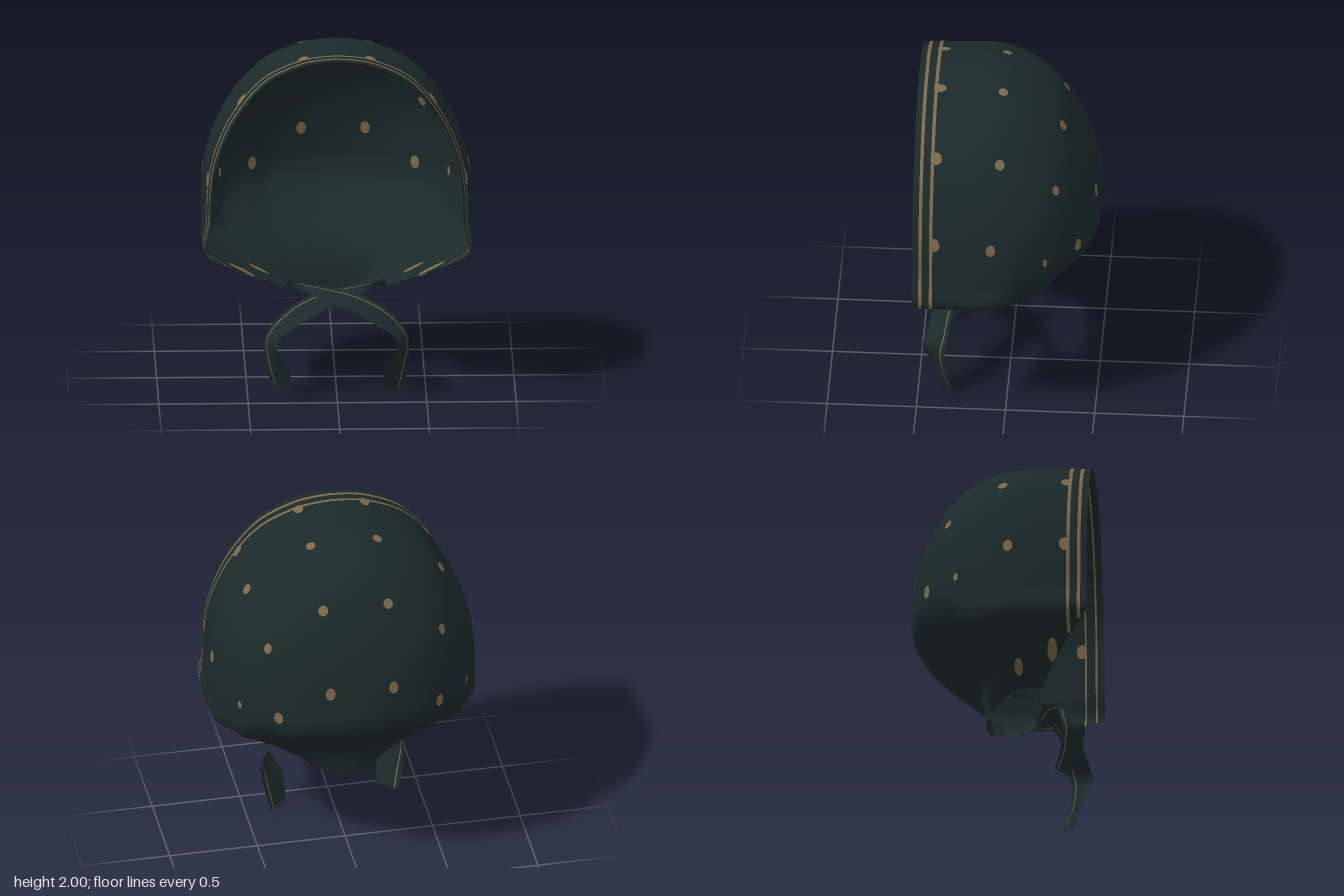
import * as THREE from 'three';

const cloth = new THREE.MeshStandardMaterial({ color: 0x1c2a2a, side: THREE.DoubleSide });
cloth.name = 'dark green cloth';
const gold = new THREE.MeshStandardMaterial({ color: 0x7d694b, side: THREE.DoubleSide });
gold.name = 'dull gold print';

// Hood levels from neck hem to crown: yFront, yBack, halfWidth, zFront, zBack
const LEVELS = [
  [0.60, 0.49, 0.28, 0.23, -0.10],
  [0.64, 0.57, 0.38, 0.27, -0.107],
  [0.70, 0.66, 0.50, 0.33, -0.13],
  [0.78, 0.76, 0.64, 0.42, -0.21],
  [0.87, 0.87, 0.75, 0.51, -0.345],
  [1.00, 1.00, 0.753, 0.51, -0.485],
  [1.10, 1.10, 0.755, 0.51, -0.52],
  [1.20, 1.20, 0.752, 0.51, -0.515],
  [1.35, 1.35, 0.735, 0.51, -0.492],
  [1.50, 1.50, 0.69, 0.51, -0.452],
  [1.65, 1.65, 0.617, 0.51, -0.385],
  [1.80, 1.80, 0.505, 0.51, -0.285],
  [1.90, 1.90, 0.385, 0.51, -0.175],
  [1.97, 1.97, 0.22, 0.51, -0.04],
  [1.992, 1.992, 0.11, 0.51, 0.05],
  [2.00, 2.00, 0, 0.51, 0.15],
];
const LAST = LEVELS.length - 1;
const spline = pts => new THREE.CatmullRomCurve3(pts, false, 'catmullrom', 0.5);
const shape = spline(LEVELS.map(l => new THREE.Vector3(l[0], l[1], l[2])));
const depth = spline(LEVELS.map(l => new THREE.Vector3(l[3], l[4], 0)));
const lerp = THREE.MathUtils.lerp;
const Z0 = 0.16; // where the straight sides turn into the rounded back

function level(r) {
  const s = shape.getPoint(r), d = depth.getPoint(r);
  return { yF: s.x, yB: s.y, w: Math.max(0, s.z), zF: Math.min(0.512, d.x), zB: d.y };
}

// Side of the hood, f = 0 at the turn and 1 at the face edge
function sidePoint(l, f, side) {
  const pull = 0.02 + 0.045 * THREE.MathUtils.smoothstep(l.yF, 0.87, 1.1);
  return new THREE.Vector3(side * l.w * (1 - pull * Math.pow(f, 1.5)), l.yF, lerp(Z0, l.zF, f));
}

// Whole hood, u = -1 right face edge, 0 middle of back, 1 left face edge
function hoodPoint(r, u) {
  const l = level(r), a = Math.abs(u), side = Math.sign(u);
  if (a > 0.65) return sidePoint(l, (a - 0.65) / 0.35, side);
  const t = a / 0.65 * Math.PI / 2;
  const s = Math.pow(Math.sin(t), 0.92), c = Math.pow(Math.max(0, Math.cos(t)), 0.92);
  // soft gathers toward the neck
  const fold = 1 + 0.014 * Math.cos(t * 14) * Math.sin(2 * t) * (1 - THREE.MathUtils.smoothstep(l.yB, 0.8, 1.4));
  return new THREE.Vector3(side * l.w * s * fold, lerp(l.yF, l.yB, c * c), Z0 - (Z0 - l.zB) * c * fold);
}

// Grid surface from fn(v, u), both 0..1
function grid(nv, nu, fn) {
  const pos = [], idx = [];
  for (let j = 0; j <= nv; j++) for (let i = 0; i <= nu; i++) pos.push(...fn(j / nv, i / nu).toArray());
  for (let j = 0; j < nv; j++) for (let i = 0; i < nu; i++) {
    const a = j * (nu + 1) + i, b = a + nu + 1;
    idx.push(a, b, a + 1, b, b + 1, a + 1);
  }
  const g = new THREE.BufferGeometry();
  g.setAttribute('position', new THREE.Float32BufferAttribute(pos, 3));
  g.setIndex(idx);
  g.computeVertexNormals();
  return g;
}

function add(parent, geometry, material, name) {
  const m = new THREE.Mesh(geometry, material);
  m.name = name;
  parent.add(m);
  return m;
}

// Printed dots: x, y, z, half width, half height (mirrored to both sides)
const DOTS = [
  [0.19, 1.97, 0.03, 0.027, 0.027], [0.57, 1.74, 0.025, 0.027, 0.031],
  [0.19, 1.765, -0.32, 0.028, 0.03], [0.505, 1.53, -0.29, 0.024, 0.03],
  [0.18, 1.31, -0.49, 0.027, 0.038], [0.74, 1.27, 0.07, 0.027, 0.037],
  [0.45, 1.13, -0.39, 0.028, 0.038], [0.63, 1.13, -0.22, 0.015, 0.026],
  [0.185, 1.97, 0.385, 0.036, 0.028], [0.53, 1.74, 0.385, 0.032, 0.036], [0.72, 1.28, 0.385, 0.03, 0.042],
  [0.53, 0.725, 0.305, 0.028, 0.085], [0.43, 0.675, 0.11, 0.024, 0.065],
];

function addDots(group, hood) {
  const P = hood.attributes.position, N = hood.attributes.normal;
  const v = new THREE.Vector3(), n = new THREE.Vector3();
  for (const [x, y, z, halfW, halfH] of DOTS) for (const side of [-1, 1]) {
    const target = new THREE.Vector3(side * x, y, z);
    let best = 0, bestD = Infinity;
    for (let i = 0; i < P.count; i++) {
      const d = v.fromBufferAttribute(P, i).distanceToSquared(target);
      if (d < bestD) { bestD = d; best = i; }
    }
    v.fromBufferAttribute(P, best);
    n.fromBufferAttribute(N, best);
    target.addScaledVector(n, -target.clone().sub(v).dot(n));
    // one plate outside, one inside
    for (const off of [0.004, -0.004]) {
      const dot = add(group, new THREE.CircleGeometry(1, 16), gold, 'printedDot');
      dot.position.copy(target).addScaledVector(n, off);
      dot.lookAt(dot.position.clone().add(n));
      dot.scale.set(halfW, halfH, 1);
    }
  }
}

// Two gold lines beside the face edge, thinner on the inside
function addStripes(group) {
  for (const [z, start] of [[0.466, 3.6], [0.406, 2.95]])
    for (const side of [-1, 1]) for (const [grow, width] of [[1.004, 0.019], [0.996, 0.01]])
      add(group, grid(90, 1, (v, u) => {
        const l = level(lerp(start / LAST, 1, v));
        const f = Math.min(1, (z + (u - 0.5) * width - Z0) / (l.zF - Z0));
        const p = sidePoint(l, f, side);
        return p.set(p.x * grow, 1.15 + (p.y - 1.15) * grow, p.z);
      }), gold, 'edgeStripe');
}

// Tie ribbon between an outer and an inner edge
const OUTER = [[-0.265, 0.595, 0.11], [-0.17, 0.60, 0.18], [0.05, 0.575, 0.23], [0.18, 0.54, 0.275], [0.28, 0.49, 0.31],
  [0.375, 0.39, 0.33], [0.408, 0.30, 0.35], [0.395, 0.16, 0.34], [0.365, 0.03, 0.305]];
const INNER = [[-0.275, 0.55, 0.05], [-0.17, 0.56, 0.22], [0.03, 0.515, 0.36], [0.14, 0.475, 0.41], [0.23, 0.425, 0.435],
  [0.32, 0.365, 0.46], [0.335, 0.30, 0.475], [0.27, 0.18, 0.44], [0.26, 0.03, 0.385]];

function makeTie(side) {
  const tie = new THREE.Group();
  tie.name = side > 0 ? 'leftTie' : 'rightTie';
  // the right tie passes just behind the left one and ends a little higher
  const right = side < 0;
  const edge = pts => spline(pts.map(([x, y, z], i) => new THREE.Vector3(
    side * x, y + (right && i === pts.length - 1 ? 0.03 : 0), z - (right && i < 4 ? 0.012 : 0))));
  const a = edge(OUTER), b = edge(INNER);
  const at = (v, w) => a.getPoint(v).lerp(b.getPoint(v), w);
  const strip = (w0, w1, mat, name) => add(tie, grid(60, 3, (v, u) => at(v, lerp(w0, w1, u))), mat, name);
  strip(0, 0.17, cloth, 'tieBorder');
  strip(0.17, 0.215, gold, 'tieStripe');
  strip(0.215, 1, cloth, 'tieBody');
  // frayed end
  for (let i = 0; i < 11; i++) {
    const thread = add(tie, new THREE.BoxGeometry(0.003, 0.03, 0.003), cloth, 'fringeThread');
    thread.position.copy(at(1, (i + 0.5) / 11));
    thread.position.y -= 0.015;
  }
  return tie;
}

export function createModel() {
  const model = new THREE.Group();
  model.name = 'headscarf';

  const hood = grid(150, 120, (v, u) => hoodPoint(v, u * 2 - 1));
  // smooth ridge along the crown
  for (let i = 0; i <= 120; i++) hood.attributes.normal.setXYZ(150 * 121 + i, 0, 1, 0);
  add(model, hood, cloth, 'hood');

  const print = new THREE.Group();
  print.name = 'hoodPrint';
  addDots(print, hood);
  addStripes(print);
  model.add(print);

  model.add(makeTie(1), makeTie(-1));
  return model;
}
